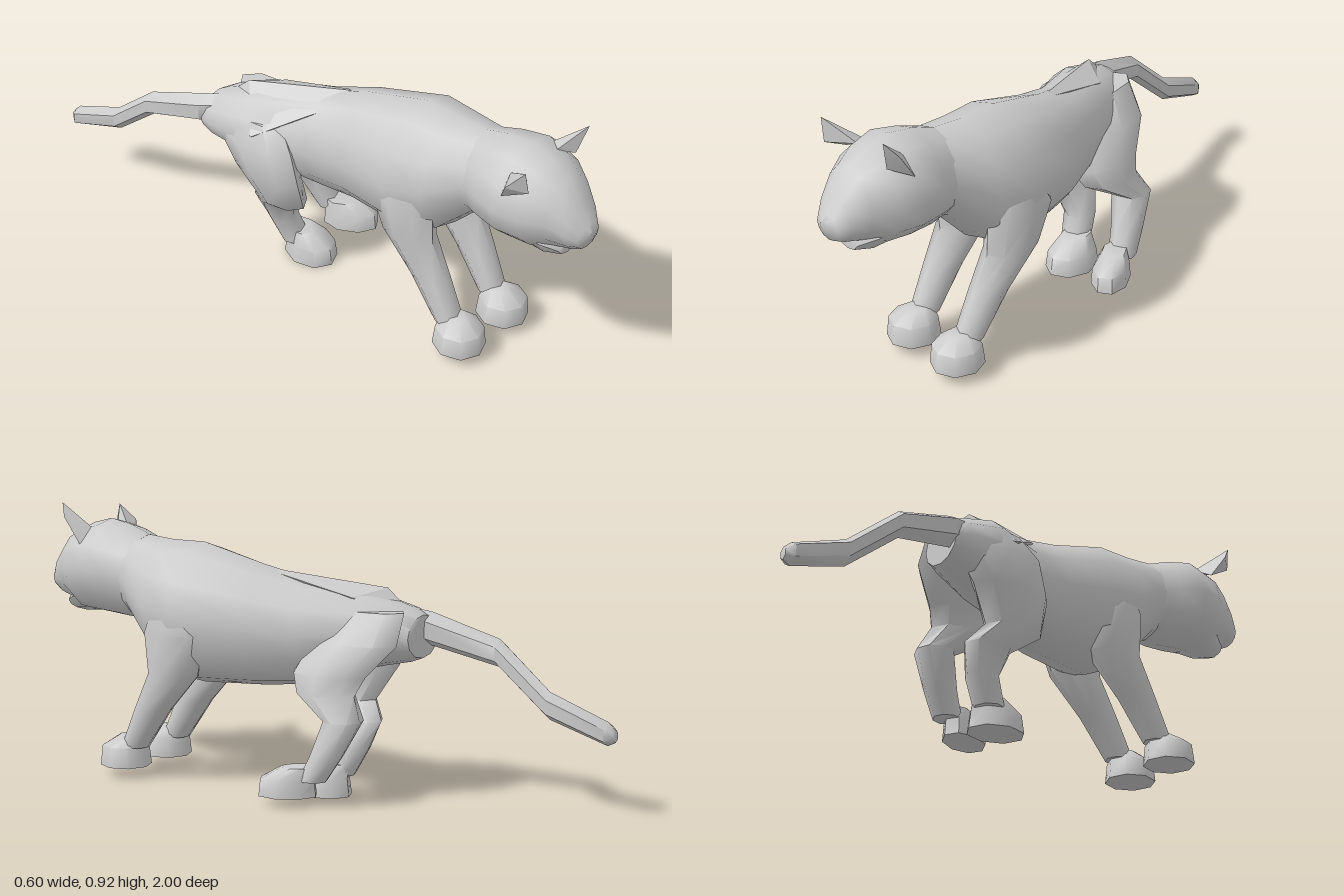
import * as THREE from 'three';
import { toCreasedNormals } from 'three/addons/utils/BufferGeometryUtils.js';
import { ConvexGeometry } from 'three/addons/geometries/ConvexGeometry.js';

const material = new THREE.MeshStandardMaterial({ color: 0xcccccc, side: THREE.DoubleSide });
const X = new THREE.Vector3(1, 0, 0), Y = new THREE.Vector3(0, 1, 0), Z = new THREE.Vector3(0, 0, 1);

// Skin over rings [x, y, z, radius along u, radius along v, turn about y], listed in the u cross v direction
function loft(name, rings, u, v, sides = 10) {
  const pos = [], index = [];
  rings.forEach(([x, y, z, ru, rv, turn = 0]) => {
    const side = u.clone().applyAxisAngle(Y, turn);
    for (let i = 0; i < sides; i++) {
      const a = (i / sides) * Math.PI * 2 + Math.PI / 2;
      const p = new THREE.Vector3(x, y, z).addScaledVector(side, ru * Math.cos(a)).addScaledVector(v, rv * Math.sin(a));
      pos.push(p.x, p.y, p.z);
    }
  });
  for (let r = 0; r < rings.length - 1; r++) {
    for (let i = 0; i < sides; i++) {
      const a = r * sides + i, b = r * sides + (i + 1) % sides;
      index.push(a, b, b + sides, a, b + sides, a + sides);
    }
  }
  // End caps
  const last = (rings.length - 1) * sides;
  for (let i = 1; i < sides - 1; i++) index.push(0, i + 1, i, last, last + i, last + i + 1);
  const geo = new THREE.BufferGeometry();
  geo.setAttribute('position', new THREE.Float32BufferAttribute(pos, 3));
  geo.setIndex(index);
  const mesh = new THREE.Mesh(toCreasedNormals(geo, 0.95), material);
  mesh.name = name;
  return mesh;
}

// Angular solid wrapped around a few corner points
function hull(name, points) {
  const geo = new ConvexGeometry(points.map((p) => new THREE.Vector3(...p)));
  const mesh = new THREE.Mesh(toCreasedNormals(geo, 0.4), material);
  mesh.name = name;
  return mesh;
}

export function createModel() {
  const cat = new THREE.Group();
  cat.name = 'walkingBigCat';

  // Torso, rump to neck, with the hips swung to one side
  cat.add(loft('torso', [
    [-0.125, 0.535, -0.38, 0.09, 0.07],
    [-0.12, 0.54, -0.34, 0.105, 0.09, 0.1],
    [-0.08, 0.55, -0.22, 0.14, 0.125, 0.25],
    [0.01, 0.535, -0.02, 0.13, 0.175, 0.25],
    [0.06, 0.55, 0.12, 0.155, 0.2, 0.15],
    [0.095, 0.575, 0.34, 0.2, 0.235],
    [0.1, 0.605, 0.47, 0.175, 0.205],
    [0.1, 0.675, 0.59, 0.13, 0.145],
    [0.1, 0.69, 0.66, 0.12, 0.13],
  ], X, Y, 12));

  // Ridge above the hips
  cat.add(hull('hipRidge', [
    [0.08, 0.745, 0.14], [-0.1, 0.685, -0.26], [0.015, 0.66, -0.2],
    [-0.09, 0.66, -0.01], [-0.21, 0.575, -0.14], [-0.05, 0.55, -0.1], [-0.12, 0.59, -0.36],
  ]));

  // Head and muzzle
  cat.add(loft('head', [
    [0.1, 0.68, 0.58, 0.12, 0.14],
    [0.1, 0.69, 0.66, 0.145, 0.158],
    [0.1, 0.702, 0.75, 0.17, 0.162],
    [0.1, 0.695, 0.83, 0.15, 0.15],
    [0.1, 0.692, 0.9, 0.105, 0.117],
    [0.1, 0.665, 0.955, 0.075, 0.075],
    [0.1, 0.647, 0.985, 0.05, 0.042],
    [0.1, 0.657, 1.0, 0.015, 0.015],
  ], X, Y, 12));
  cat.add(loft('lowerJaw', [
    [0.1, 0.605, 0.78, 0.1, 0.06],
    [0.1, 0.59, 0.87, 0.08, 0.055],
    [0.1, 0.572, 0.92, 0.045, 0.024],
  ], X, Y, 8));

  // Ears of uneven tilt
  cat.add(hull('leftEar', [
    [0.15, 0.83, 0.8], [0.22, 0.92, 0.865], [0.25, 0.875, 0.83],
    [0.24, 0.785, 0.77], [0.17, 0.82, 0.75], [0.2, 0.82, 0.84],
  ]));
  cat.add(hull('rightEar', [
    [-0.1, 0.84, 0.82], [-0.065, 0.895, 0.865], [0.02, 0.815, 0.8],
    [-0.065, 0.77, 0.78], [0, 0.81, 0.76], [-0.05, 0.82, 0.87],
  ]));

  // Front legs, mirrored about the chest line x = 0.1
  const frontLeg = [
    [0.205, 0.11, 0.56, 0.05, 0.046],
    [0.207, 0.25, 0.475, 0.07, 0.056],
    [0.21, 0.38, 0.38, 0.1, 0.07],
    [0.225, 0.52, 0.36, 0.125, 0.075],
    [0.215, 0.62, 0.37, 0.08, 0.06],
  ];
  const frontPaw = [
    [0.205, 0.042, 0.605, 0.088, 0.085],
    [0.205, 0.11, 0.605, 0.08, 0.078],
    [0.2, 0.145, 0.585, 0.045, 0.03],
  ];
  for (const [side, flip] of [['left', false], ['right', true]]) {
    const place = (rings) => rings.map(([x, ...rest]) => [flip ? 0.2 - x : x, ...rest]);
    cat.add(loft(side + 'FrontLeg', place(frontLeg), Z, X, 8));
    cat.add(loft(side + 'FrontPaw', place(frontPaw), Z, X, 8));
  }

  // Hind legs in different phases of the stride, ground to hip
  cat.add(loft('leftHindLeg', [
    [0.17, 0.09, -0.16, 0.05, 0.045],
    [0.15, 0.17, -0.2, 0.056, 0.052],
    [0.122, 0.285, -0.245, 0.064, 0.068],
    [0.1, 0.36, -0.16, 0.11, 0.072],
    [0.075, 0.42, -0.155, 0.14, 0.08],
    [0.02, 0.52, -0.21, 0.165, 0.09],
    [-0.03, 0.62, -0.23, 0.14, 0.07],
  ], Z, X, 8));
  cat.add(loft('leftHindPaw', [
    [0.195, 0.035, -0.08, 0.095, 0.07, 0.3],
    [0.195, 0.09, -0.08, 0.09, 0.065, 0.3],
    [0.18, 0.13, -0.11, 0.055, 0.045, 0.3],
  ], Z, X, 8));
  cat.add(loft('rightHindLeg', [
    [-0.025, 0.07, -0.13, 0.05, 0.05],
    [-0.045, 0.16, -0.17, 0.055, 0.053],
    [-0.075, 0.25, -0.17, 0.085, 0.06],
    [-0.115, 0.31, -0.1, 0.105, 0.065],
    [-0.145, 0.42, -0.13, 0.14, 0.075],
    [-0.15, 0.53, -0.18, 0.165, 0.08],
    [-0.13, 0.61, -0.21, 0.13, 0.065],
  ], Z, X, 8));
  cat.add(loft('rightHindPaw', [
    [0.005, 0.005, -0.085, 0.1, 0.08],
    [0.005, 0.065, -0.085, 0.092, 0.072],
    [-0.01, 0.11, -0.12, 0.055, 0.045],
  ], Z, X, 8));

  // Tail, tip to root
  cat.add(loft('tail', [
    [-0.27, 0.265, -0.995, 0.018, 0.02],
    [-0.268, 0.27, -0.97, 0.038, 0.038],
    [-0.24, 0.34, -0.78, 0.036, 0.044],
    [-0.232, 0.49, -0.6, 0.04, 0.045],
    [-0.175, 0.555, -0.38, 0.052, 0.055],
    [-0.15, 0.57, -0.33, 0.05, 0.05],
  ], X, Y, 6));

  return cat;
}
